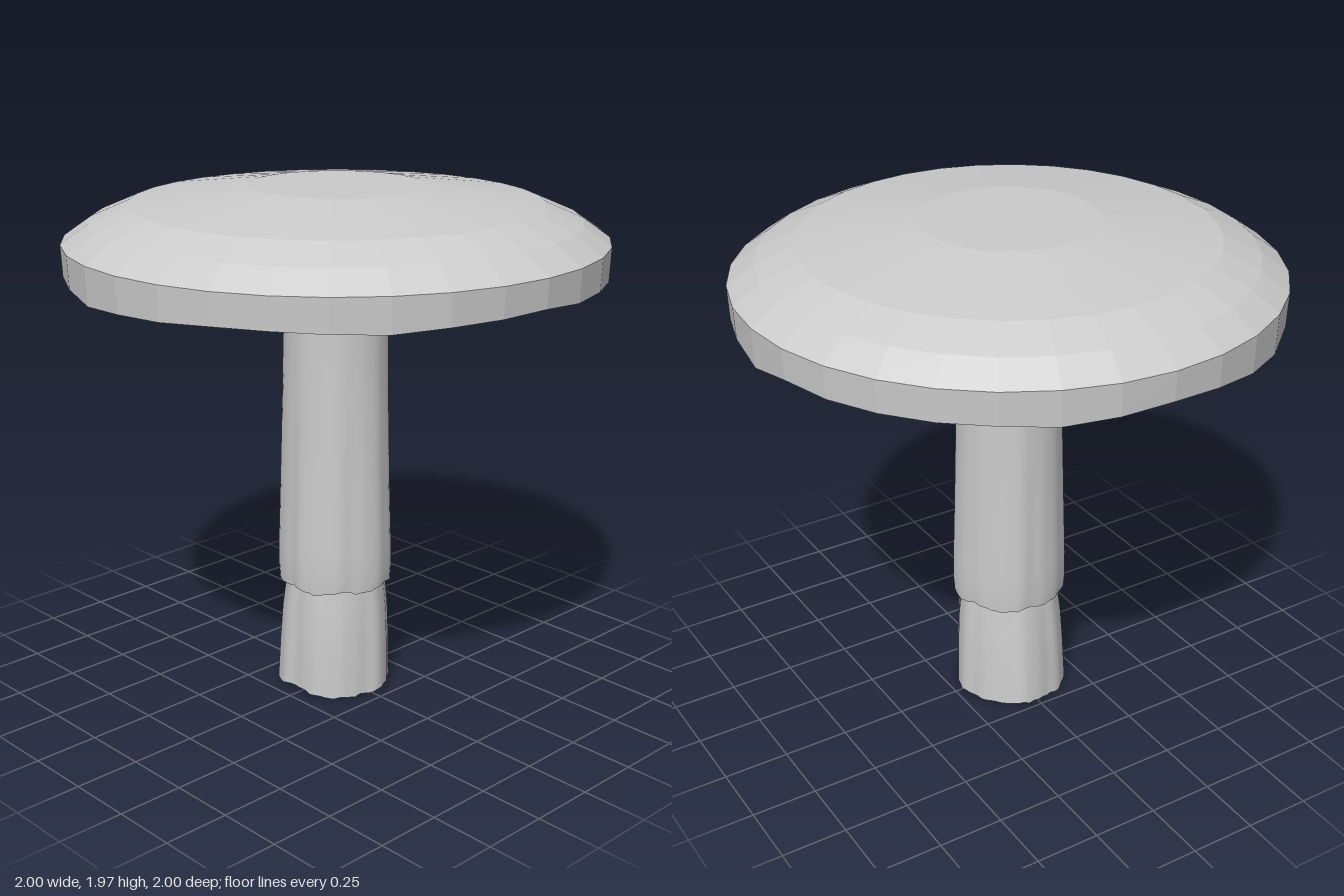
import * as THREE from 'three';

// Skin closed rings of n points; point(ring, angle, index) returns [x, y, z].
function loft(name, ringCount, n, flat, point) {
  const pos = [], idx = [];
  for (let i = 0; i < ringCount; i++)
    for (let j = 0; j < n; j++) pos.push(...point(i, (j / n) * Math.PI * 2, j));
  for (let i = 0; i < ringCount - 1; i++)
    for (let j = 0; j < n; j++) {
      const a = i * n + j, b = i * n + ((j + 1) % n);
      idx.push(a, b, b + n, a, b + n, a + n);
    }
  const geo = new THREE.BufferGeometry();
  geo.setAttribute('position', new THREE.Float32BufferAttribute(pos, 3));
  geo.setIndex(idx);
  geo.computeVertexNormals();
  const mesh = new THREE.Mesh(geo, new THREE.MeshStandardMaterial({
    color: 0xcccccc, flatShading: flat, side: THREE.DoubleSide }));
  mesh.name = name;
  return mesh;
}

const polar = (r, a, y) => [r * Math.sin(a), y, r * Math.cos(a)];

// Repeatable noise from -1 to 1
const noise = (k) => { const s = Math.sin(k * 12.9898 + 4.1) * 43758.5453; return 2 * (s - Math.floor(s)) - 1; };

// Wavy lower edge of the cap, in thousandths above 1.6, starting at the front
const RIM = [75, 60, 60, 55, 45, 35, 50, 60, 35, 65, 60, 60, 60, 60, 50, 60,
  70, 60, 40, 30, 50, 65, 60, 40, 50, 55, 65, 65, 60, 55, 65, 70];

// Shallow vertical folds of the stem
const folds = (a) => 0.5 * Math.sin(5 * a + 0.6) + 0.3 * Math.sin(9 * a + 2) + 0.2 * Math.sin(16 * a);

export function createModel() {
  const group = new THREE.Group();
  group.name = 'mushroom';

  // Cap: gilled underside, wavy rim, then the faceted dome
  const capProfile = [[0.18, 1.72], [0.3, 1.73], [0.94, 1.67], [0.99, 1.65], [1, 1.78],
    [0.9, 1.85], [0.76, 1.91], [0.325, 1.97], [0, 1.97]];
  group.add(loft('cap', capProfile.length, 32, true, (i, a, j) => {
    let [r, y] = capProfile[i];
    const edge = 1.6 + RIM[j] / 1000;
    if (i === 1) y += 0.012 * noise(j);
    if (i === 2) y = edge + 0.012 + 0.006 * noise(j + 40);
    if (i === 3) { y = edge; r = 0.995; }
    return polar(r, a, y);
  }));

  // Upper stem sleeve: flares towards a ragged hem
  const sleeveProfile = [[0.213, 0.44], [0.217, 0.5], [0.216, 0.6], [0.208, 0.85],
    [0.2, 1.2], [0.196, 1.5], [0.196, 1.76]];
  const sleeveRadius = (i, a) => {
    const [r, y] = sleeveProfile[i];
    return r + 0.008 * folds(a) * THREE.MathUtils.clamp((1.6 - y) / 0.8, 0.15, 1);
  };
  const hemY = (a, j) => 0.443 + 0.006 * Math.sin(7 * a) + 0.006 * noise(j + 90);
  group.add(loft('upperStem', sleeveProfile.length, 64, false, (i, a, j) =>
    polar(sleeveRadius(i, a), a, i ? sleeveProfile[i][1] : hemY(a, j))));

  // Underside of the hem, closing against the lower stem
  group.add(loft('hem', 2, 64, false, (i, a, j) =>
    polar(i ? sleeveRadius(0, a) : 0.17, a, hemY(a, j) + (i ? 0 : 0.015))));

  // Lower stem: slight waist, spreading and leaning back at the foot
  const footProfile = [[0.21, 0.01], [0.209, 0.05], [0.207, 0.18], [0.202, 0.32], [0.193, 0.42], [0.188, 0.5]];
  const footPoint = (i, a, j) => {
    const [r, y] = footProfile[i];
    const spread = THREE.MathUtils.clamp(1 - y / 0.45, 0, 1);
    const back = Math.max(0, -Math.cos(a));
    const rr = r + (0.006 + 0.006 * spread) * folds(a + 1.2) + 0.025 * spread * back;
    return polar(rr, a, i ? y : 0.012 + 0.006 * Math.sin(3 * a) + 0.006 * noise(j + 200));
  };
  group.add(loft('lowerStem', footProfile.length, 64, false, footPoint));

  // Uneven cut end under the foot
  group.add(loft('stemBase', 3, 64, false, (i, a, j) => {
    if (i === 2) return footPoint(0, a, j);
    return polar(i * 0.15, a, i ? 0.006 + 0.006 * Math.sin(3 * a) : 0.012);
  }));

  return group;
}
